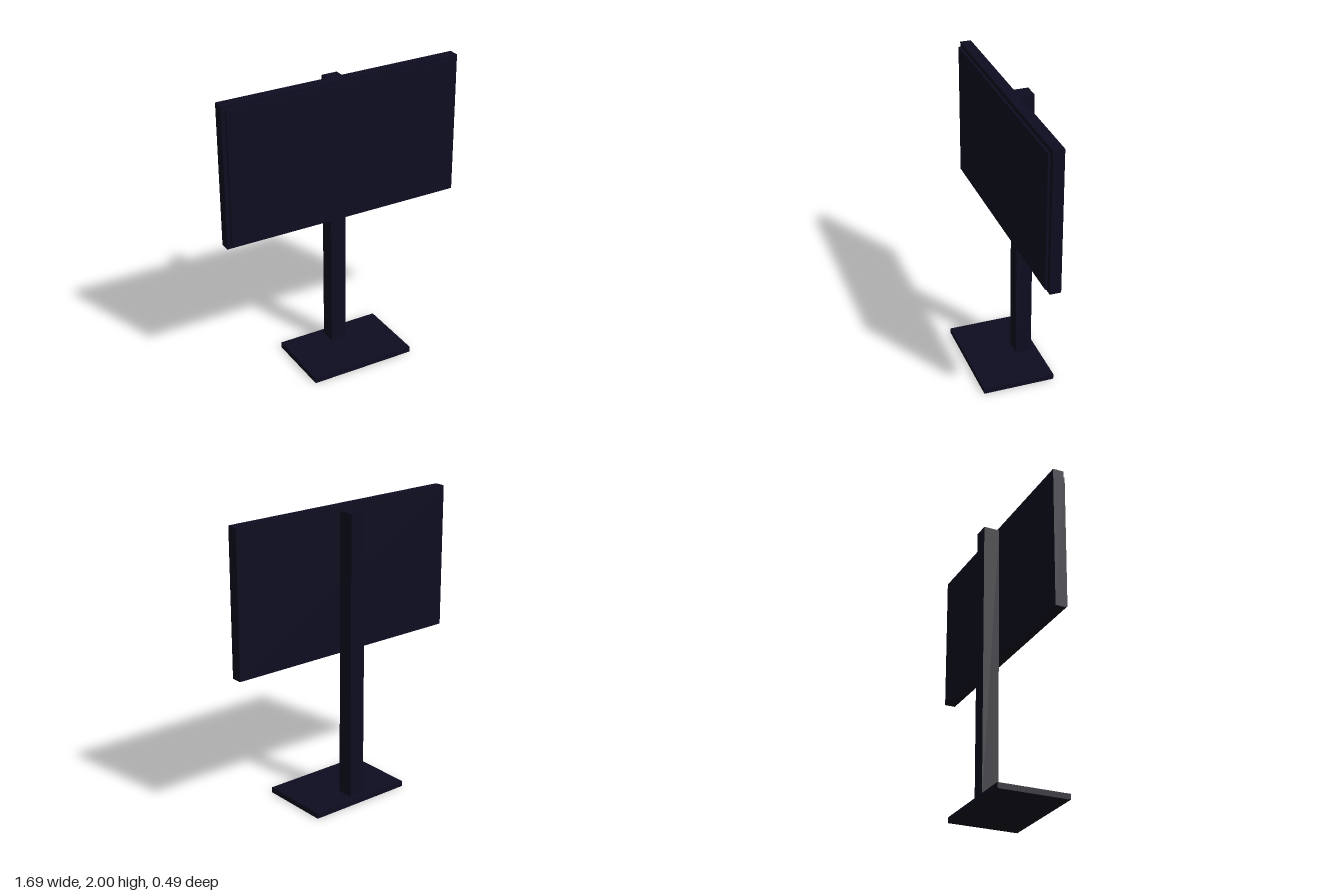
import * as THREE from 'three';

export function createModel() {
  const model = new THREE.Group();
  const darkNavy = new THREE.MeshStandardMaterial({ color: 0x0d0d20 });
  darkNavy.name = 'dark navy';

  // Box given by its lower and upper corners
  const addBox = (name, [x0, y0, z0], [x1, y1, z1]) => {
    const mesh = new THREE.Mesh(new THREE.BoxGeometry(x1 - x0, y1 - y0, z1 - z0), darkNavy);
    mesh.position.set((x0 + x1) / 2, (y0 + y1) / 2, (z0 + z1) / 2);
    mesh.name = name;
    model.add(mesh);
  };

  // Floor plate and upright
  addBox('base', [-0.37, 0, -0.246], [0.37, 0.038, 0.246]);
  addBox('post', [-0.055, 0.038, -0.202], [0.055, 1.975, -0.091]);

  // Display housing with a thin panel floating just in front of it
  addBox('housing', [-0.843, 1.031, -0.087], [0.843, 2, -0.013]);
  addBox('screen', [-0.818, 1.056, -0.008], [0.818, 1.975, 0.008]);

  return model;
}
